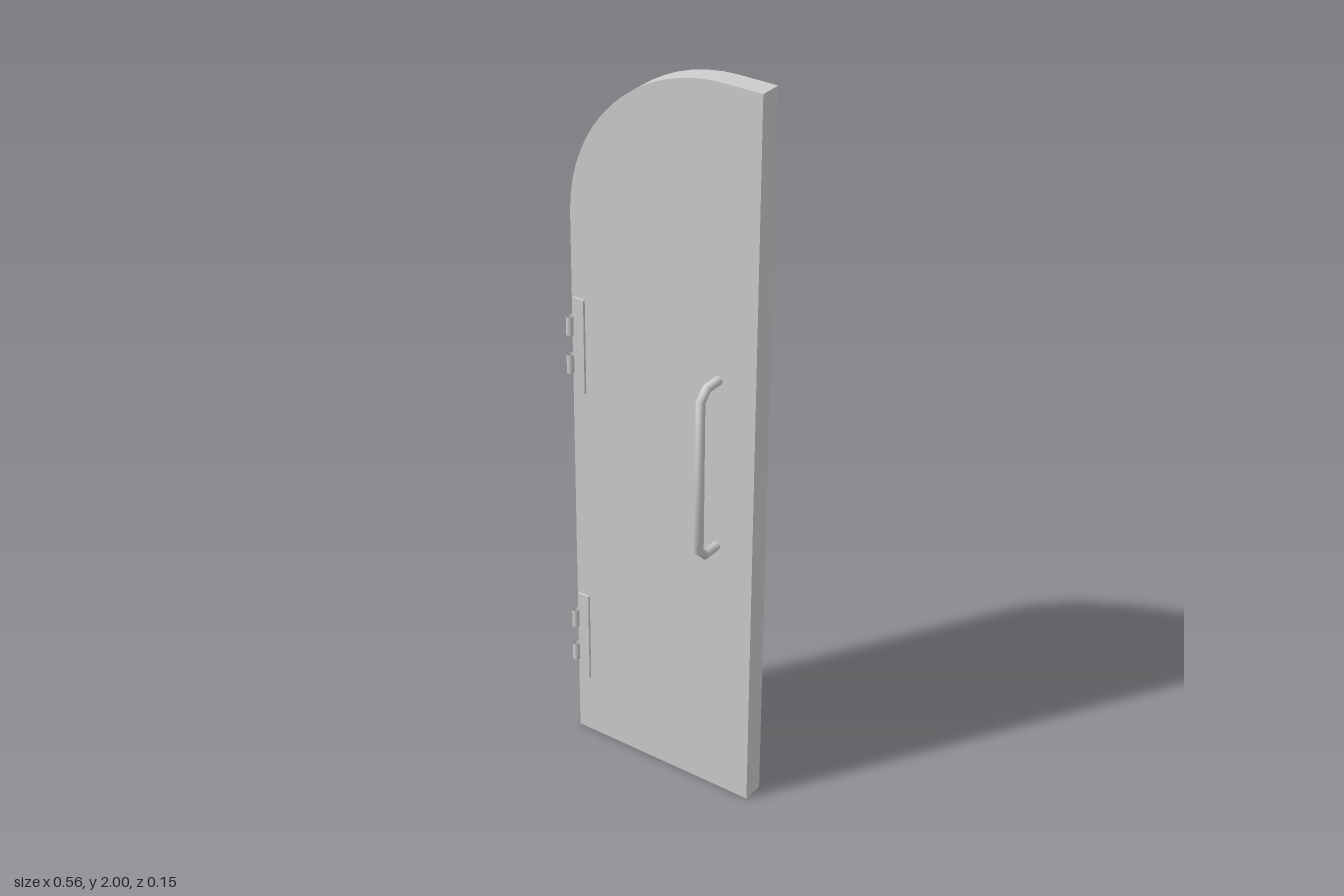
import * as THREE from 'three';
import { toCreasedNormals } from 'three/addons/utils/BufferGeometryUtils.js';

const FRONT = -0.013; // z of the door's front face
const BACK = -0.073;

// Path through corner points, one ring of the tube at each corner
class BentPath extends THREE.Curve {
  constructor(points) {
    super();
    this.points = points;
  }
  getPoint(t) {
    return this.points[Math.round(t * (this.points.length - 1))].clone();
  }
  getPointAt(t) {
    return this.getPoint(t);
  }
  getTangentAt(t) {
    const p = this.points, i = Math.round(t * (p.length - 1));
    const tangent = new THREE.Vector3();
    if (i > 0) tangent.add(p[i].clone().sub(p[i - 1]).normalize());
    if (i < p.length - 1) tangent.add(p[i + 1].clone().sub(p[i]).normalize());
    return tangent.normalize();
  }
}

export function createModel() {
  const model = new THREE.Group();
  model.name = 'archedDoor';
  const material = new THREE.MeshStandardMaterial({ color: 0xcccccc });
  const openMaterial = new THREE.MeshStandardMaterial({ color: 0xcccccc, side: THREE.DoubleSide });

  function add(name, geometry, parent = model, mat = material) {
    const mesh = new THREE.Mesh(geometry, mat);
    mesh.name = name;
    parent.add(mesh);
    return mesh;
  }

  // Door leaf with one rounded upper corner
  const radius = 0.445;
  const outline = new THREE.Shape();
  outline.moveTo(-0.27, 0);
  outline.lineTo(0.28, 0);
  outline.lineTo(0.28, 2);
  outline.lineTo(-0.27 + radius, 2);
  outline.absarc(-0.27 + radius, 2 - radius, radius, Math.PI / 2, Math.PI, false);
  outline.closePath();
  const leaf = new THREE.ExtrudeGeometry(outline, {
    depth: FRONT - BACK, bevelEnabled: false, curveSegments: 8,
  });
  leaf.translate(0, 0, BACK);
  add('doorLeaf', toCreasedNormals(leaf, 0.5));

  // Pull handle: a bar with chamfered bends, ending in the door
  const top = 1.233, bottom = 0.757, out = 0.061, bend = 0.025;
  const corners = [
    [top, FRONT], [top, out - bend], [top - bend, out],
    [bottom + bend, out], [bottom, out - bend], [bottom, FRONT],
  ].map(([y, z]) => new THREE.Vector3(0.171, y, z));
  add('handle', new THREE.TubeGeometry(new BentPath(corners), corners.length - 1, 0.012, 16));

  // Hinges: a flat plate and two open knuckles each
  for (const [name, y] of [['upperHinge', 1.194], ['lowerHinge', 0.308]]) {
    const hinge = new THREE.Group();
    hinge.name = name;
    hinge.position.y = y;
    model.add(hinge);
    add('hingePlate', new THREE.BoxGeometry(0.034, 0.265, 0.008), hinge)
      .position.set(-0.247, 0, FRONT + 0.003);
    for (const side of [-1, 1]) {
      add('hingeKnuckle', new THREE.CylinderGeometry(0.01, 0.01, 0.052, 12, 1, true), hinge, openMaterial)
        .position.set(-0.27, side * 0.054, -0.003);
    }
  }

  return model;
}
